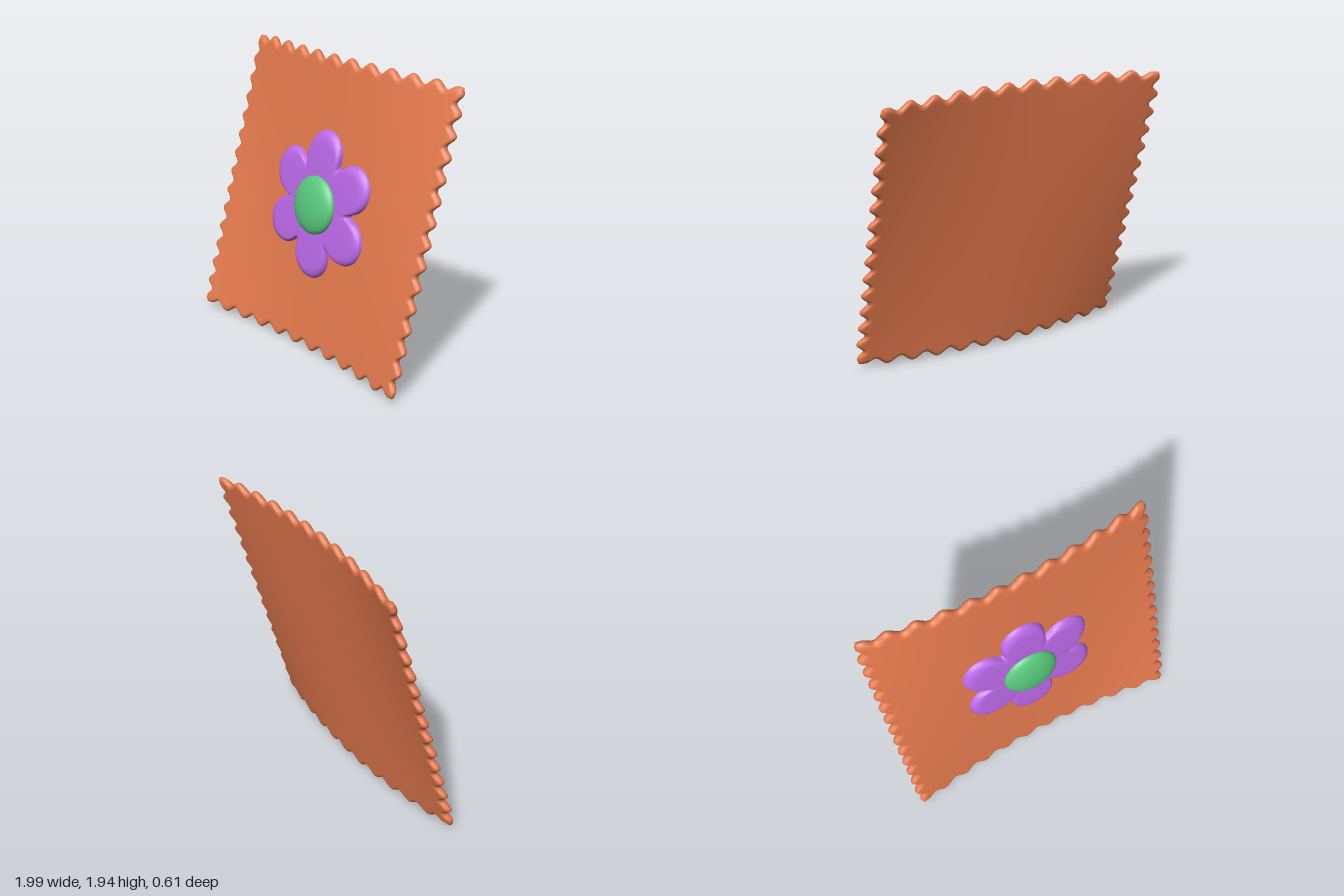
import * as THREE from 'three';
import { mergeVertices } from 'three/addons/utils/BufferGeometryUtils.js';

const MID_Y = 0.97;
const HALF_W = 0.97, HALF_H = 0.945, THICK = 0.027, ROUND = 0.03;

// Depth of the leaning, gently twisted sheet at a point measured from its middle
const bend = (x, y) => -0.18 * y - 0.115 * x * x * y + 0.02 * x;

// Move every vertex by a rule, lay it on the bent sheet, and smooth the normals
function shapeOnSheet(geometry, rule) {
  geometry.deleteAttribute('uv');
  geometry.deleteAttribute('normal');
  const pos = geometry.attributes.position;
  const p = new THREE.Vector3();
  for (let i = 0; i < pos.count; i++) {
    p.fromBufferAttribute(pos, i);
    rule(p);
    pos.setXYZ(i, p.x, MID_Y + p.y, p.z + bend(p.x, p.y));
  }
  const smooth = mergeVertices(geometry, 1e-5);
  smooth.computeVertexNormals();
  return smooth;
}

function part(name, geometry, color) {
  const mesh = new THREE.Mesh(geometry, new THREE.MeshStandardMaterial({ color }));
  mesh.name = name;
  return mesh;
}

// Square sheet with rounded rim and scalloped edges
function sheetGeometry() {
  return shapeOnSheet(new THREE.BoxGeometry(2, 2, 2, 144, 144, 8), (p) => {
    const u = p.x, v = p.y, a = p.z * Math.PI / 2;
    const inset = ROUND * (1 - Math.cos(a));
    const x = u * (HALF_W - inset), y = v * (HALF_H - inset);
    const fade = (t) => 1 - 0.8 * THREE.MathUtils.smoothstep(Math.abs(t), 0.88, 1);
    const sideWave = 0.025 * Math.cos(2 * Math.PI * y / 0.1294) * fade(v);
    const endWave = -0.025 * Math.cos(2 * Math.PI * x / 0.173) * fade(u) - 0.015 * u * u;
    p.x = x + Math.sign(u) * Math.abs(u) ** 25 * sideWave;
    p.y = y + Math.sign(v) * Math.abs(v) ** 25 * endWave;
    p.z = THICK * Math.sin(a);
  });
}

// Outline radius of six round petals with softened valleys
function petalRadius(angle) {
  const step = Math.PI / 3, d = 0.335, r = 0.155;
  const t = angle - Math.PI / 2;
  const phi = t - step * Math.round(t / step);
  return d * Math.cos(phi) + Math.sqrt(Math.max(r * r - (d * Math.sin(phi)) ** 2, 0.0004));
}

// Puffy flower: a rounded disc profile stretched to the petal outline
function flowerGeometry() {
  const profile = [new THREE.Vector2(1, 0)];
  for (let i = 0; i <= 10; i++) {
    const a = (i / 10) * Math.PI / 2;
    profile.push(new THREE.Vector2(0.84 + 0.16 * Math.cos(a), 0.022 + 0.05 * Math.sin(a)));
  }
  for (const r of [0.7, 0.5, 0.25, 0]) profile.push(new THREE.Vector2(r, 0.075));
  const disc = new THREE.LatheGeometry(profile, 180).rotateX(Math.PI / 2);
  return shapeOnSheet(disc, (p) => {
    const r = petalRadius(Math.atan2(p.y, p.x));
    p.x *= r;
    p.y = p.y * r + 0.01;
  });
}

// Domed button in the middle of the flower
function centreGeometry() {
  return shapeOnSheet(new THREE.SphereGeometry(1, 48, 32), (p) => {
    p.set(p.x * 0.19, p.y * 0.19 + 0.017, 0.076 + p.z * 0.068);
  });
}

export function createModel() {
  const model = new THREE.Group();
  model.name = 'flowerPatch';
  model.add(
    part('scallopedSheet', sheetGeometry(), 0xe57a4e),
    part('flowerPetals', flowerGeometry(), 0xba68e6),
    part('flowerCentre', centreGeometry(), 0x58c67c),
  );
  return model;
}
